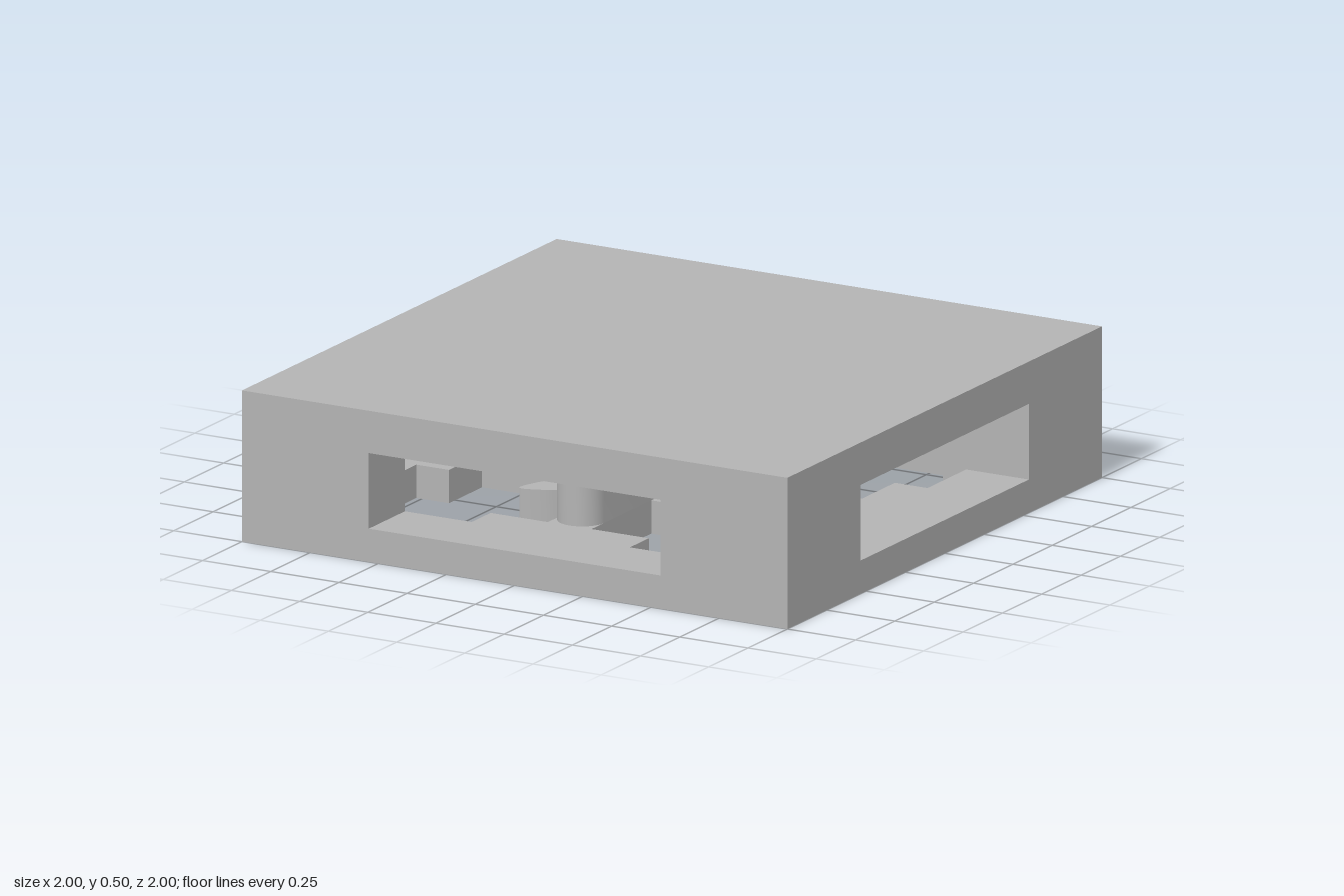
import * as THREE from 'three';
import { toCreasedNormals } from 'three/addons/utils/BufferGeometryUtils.js';

const FLOOR = 0.11, CEILING = 0.36, TOP = 0.5;

// Extrude a plan outline upward between two heights
function slab(shape, y0, y1) {
  const geo = new THREE.ExtrudeGeometry(shape, { depth: y1 - y0, bevelEnabled: false, curveSegments: 12 });
  geo.rotateX(-Math.PI / 2).translate(0, y0, 0);
  return toCreasedNormals(geo, 0.6);
}

const points = (list) => list.map(([x, y]) => new THREE.Vector2(x, y));
const quarterTurn = (list, i) => list.map((p) => p.clone().rotateAround(new THREE.Vector2(), i * Math.PI / 2));
const square = () => new THREE.Shape(points([[-1, -1], [1, -1], [1, 1], [-1, 1]]));

export function createModel() {
  const model = new THREE.Group();
  model.name = 'tileBase';
  const grey = new THREE.MeshStandardMaterial({ color: 0xb3b3b3 });
  grey.name = 'grey';

  function add(name, geo) {
    const mesh = new THREE.Mesh(geo, grey);
    mesh.name = name;
    model.add(mesh);
  }

  // Floor with a stepped hole in each quarter; a wavy lobe points into each hole
  const lobe = new THREE.SplineCurve(points([
    [0.27, 0.08], [0.28, 0.18], [0.335, 0.27], [0.355, 0.355], [0.27, 0.335], [0.18, 0.28], [0.08, 0.27],
  ])).getPoints(36);
  const hole = [
    ...points([
      [0.08, 0.65], [0.29, 0.65], [0.29, 0.77], [0.63, 0.77], [0.63, 0.63],
      [0.77, 0.63], [0.77, 0.29], [0.65, 0.29], [0.65, 0.08],
    ]),
    ...lobe,
  ];
  const floor = square();
  for (let i = 0; i < 4; i++) floor.holes.push(new THREE.Path(quarterTurn(hole, i)));
  add('floor', slab(floor, 0, FLOOR));

  // Corner blocks, leaving a slot open on every side that widens inside
  const corner = points([
    [1, 1], [0.535, 1], [0.535, 0.77], [0.63, 0.77], [0.63, 0.63], [0.77, 0.63], [0.77, 0.535], [1, 0.535],
  ]);
  for (let i = 0; i < 4; i++) {
    add('cornerBlock' + (i + 1), slab(new THREE.Shape(quarterTurn(corner, i)), FLOOR, CEILING));
  }

  // Centre post: square column with four round-ended ribs
  const rib = points([[0.165, -0.165], [0.165, -0.08]]);
  for (let k = 0; k <= 16; k++) {
    const a = -Math.PI / 2 + (k * Math.PI) / 16;
    rib.push(new THREE.Vector2(0.57 + 0.08 * Math.cos(a), 0.08 * Math.sin(a)));
  }
  rib.push(new THREE.Vector2(0.165, 0.08));
  const post = [];
  for (let i = 0; i < 4; i++) post.push(...quarterTurn(rib, i));
  add('centrePost', slab(new THREE.Shape(post), FLOOR, CEILING));

  // Solid top plate
  add('topPlate', slab(square(), CEILING, TOP));

  return model;
}
